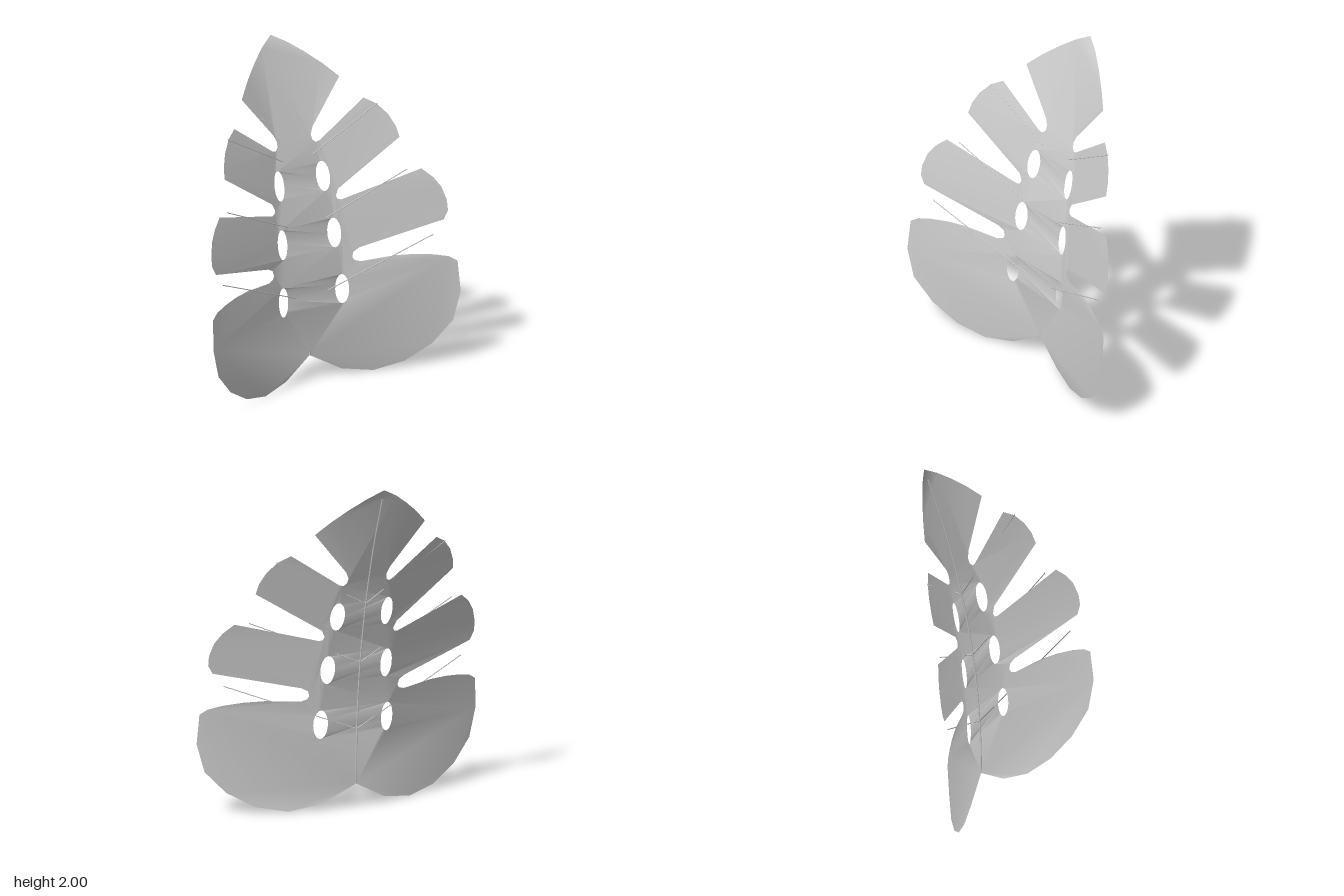
import * as THREE from 'three';

const material = new THREE.MeshStandardMaterial({ color: 0xcccccc, side: THREE.DoubleSide });

// Leaf surface: midrib bends backwards towards the tip, sides fold forwards
const surfaceZ = (x, y) =>
  0.07 - 0.102 * Math.pow(Math.max(y - 0.15, 0), 2.1) + 0.31 * Math.pow(Math.abs(x), 1.25);
const onLeaf = (x, y) => new THREE.Vector3(x, y, surfaceZ(x, y));

// Half outline from the stalk notch up to the tip
const halfOutline = [
  [0, 0.15], [0.2, 0.04], [0.39, 0.005], [0.57, 0.04], [0.73, 0.13], [0.85, 0.26], [0.895, 0.43], [0.885, 0.61],
  [0.84, 0.64], [0.76, 0.66], [0.65, 0.675], [0.53, 0.68], [0.42, 0.673], [0.33, 0.668],   // base lobe
  [0.295, 0.68], [0.283, 0.7], [0.293, 0.73], [0.33, 0.75],                                // notch
  [0.825, 0.86], [0.853, 0.91], [0.853, 0.97], [0.83, 1.05], [0.79, 1.11], [0.73, 1.165],  // middle lobe
  [0.25, 1.04], [0.228, 1.045], [0.22, 1.065], [0.24, 1.105],                              // notch
  [0.633, 1.355], [0.622, 1.42], [0.59, 1.49], [0.535, 1.555], [0.467, 1.595],             // upper lobe
  [0.17, 1.39], [0.145, 1.383], [0.126, 1.4], [0.122, 1.43], [0.14, 1.47],                 // notch
  [0.353, 1.727], [0.27, 1.81], [0.18, 1.885], [0.09, 1.95], [0, 2],                       // tip lobe
];

function makeBlade() {
  const mirrored = halfOutline.slice(1, -1).reverse().map(([x, y]) => [-x, y]);
  const shape = new THREE.Shape([...halfOutline, ...mirrored].map(([x, y]) => new THREE.Vector2(x, y)));

  // Oval windows beside the midrib
  for (const [x, y] of [[0.158, 1.187], [0.187, 0.855], [0.212, 0.52]]) {
    for (const side of [-1, 1]) {
      const points = [];
      for (let i = 0; i < 20; i++) {
        const a = -i / 20 * Math.PI * 2;
        points.push(new THREE.Vector2(side * x + 0.042 * Math.cos(a), y + 0.087 * Math.sin(a)));
      }
      shape.holes.push(new THREE.Path(points));
    }
  }

  const geometry = new THREE.ShapeGeometry(shape);
  const p = geometry.attributes.position;
  for (let i = 0; i < p.count; i++) p.setZ(i, surfaceZ(p.getX(i), p.getY(i)));
  geometry.computeVertexNormals();
  const blade = new THREE.Mesh(geometry, material);
  blade.name = 'leafBlade';
  return blade;
}

function makeRib(name, points, radius, segments) {
  const curve = new THREE.CatmullRomCurve3(points);
  const rib = new THREE.Mesh(new THREE.TubeGeometry(curve, segments, radius, 6), material);
  rib.name = name;
  return rib;
}

export function createModel() {
  const leaf = new THREE.Group();
  leaf.name = 'leaf';
  leaf.add(makeBlade());

  // Midrib
  const spine = [0.15, 0.4, 0.8, 1.2, 1.6, 1.94].map((y) => onLeaf(0, y));
  leaf.add(makeRib('midrib', spine, 0.005, 20));

  // Straight side veins: start height, end x, end y
  for (const [y0, x1, y1] of [[0.48, 0.76, 0.78], [0.89, 0.65, 1.17], [1.26, 0.54, 1.555]]) {
    for (const side of [-1, 1]) {
      leaf.add(makeRib('sideVein', [onLeaf(0, y0), onLeaf(side * x1, y1)], 0.003, 1));
    }
  }
  return leaf;
}
